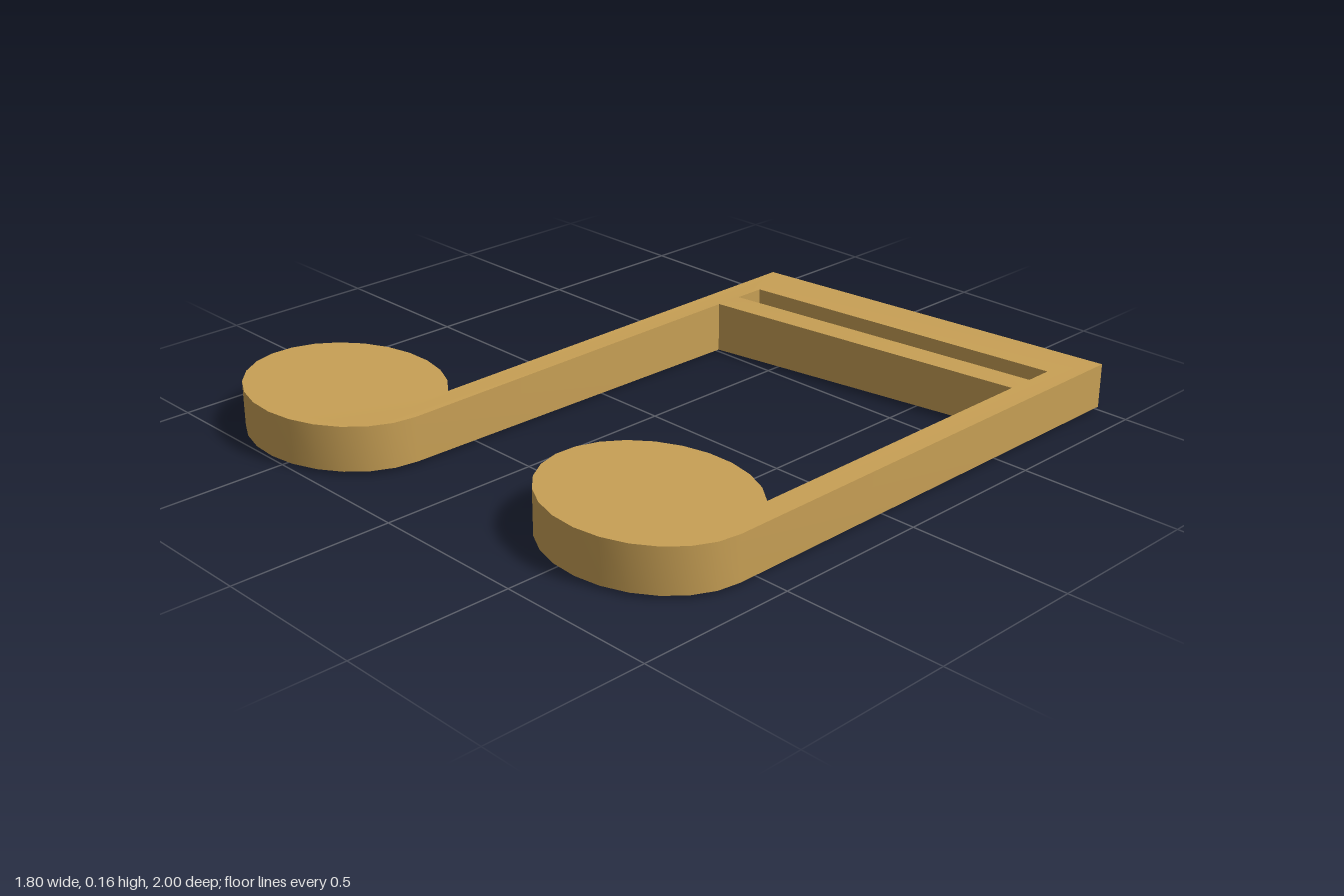
import * as THREE from 'three';
import { toCreasedNormals } from 'three/addons/utils/BufferGeometryUtils.js';

const V = (x, y) => new THREE.Vector2(x, y);

// Oval head outline, counter-clockwise from the notch beside the stem
// to the point where the oval meets the stem's outer edge.
function headArc(cx, cy, steps = 22) {
  const start = 0.702, end = Math.PI * 2, points = [];
  for (let i = 0; i <= steps; i++) {
    const a = start + (end - start) * i / steps;
    points.push(V(cx + 0.3375 * Math.cos(a), cy + 0.28 * Math.sin(a)));
  }
  return points;
}

export function createModel() {
  const group = new THREE.Group();
  group.name = 'musicNote';

  // Two heads, two stems and the slanted beam as one outline
  const shape = new THREE.Shape([
    ...headArc(-0.5675, -0.72),
    V(-0.23, 0.51), V(0.82, 0.66),
    ...headArc(0.5625, -0.5675),
    V(0.9, 1), V(-0.31, 0.85),
  ]);

  // Slot that separates the two beams
  shape.holes.push(new THREE.Path([
    V(-0.23, 0.7), V(0.82, 0.835), V(0.82, 0.745), V(-0.23, 0.6),
  ]));

  const extruded = new THREE.ExtrudeGeometry(shape, { depth: 1, bevelEnabled: false });

  // Thickness grows slightly toward the beam's right-hand corner
  const pos = extruded.attributes.position;
  for (let i = 0; i < pos.count; i++) {
    const beam = pos.getY(i) > 0 ? 1 : 0;
    const grow = beam * THREE.MathUtils.clamp((0.9 - pos.getX(i)) / 1.21, 0, 1);
    const half = 0.07 + 0.01 * grow;
    pos.setZ(i, 0.08 + (pos.getZ(i) > 0.5 ? half : -half));
  }

  // Lay the note flat
  extruded.rotateX(-Math.PI / 2);
  const geometry = toCreasedNormals(extruded, 0.5);
  const note = new THREE.Mesh(geometry, new THREE.MeshStandardMaterial({ color: 0xc8a055 }));
  note.name = 'beamedNote';
  group.add(note);
  return group;
}
